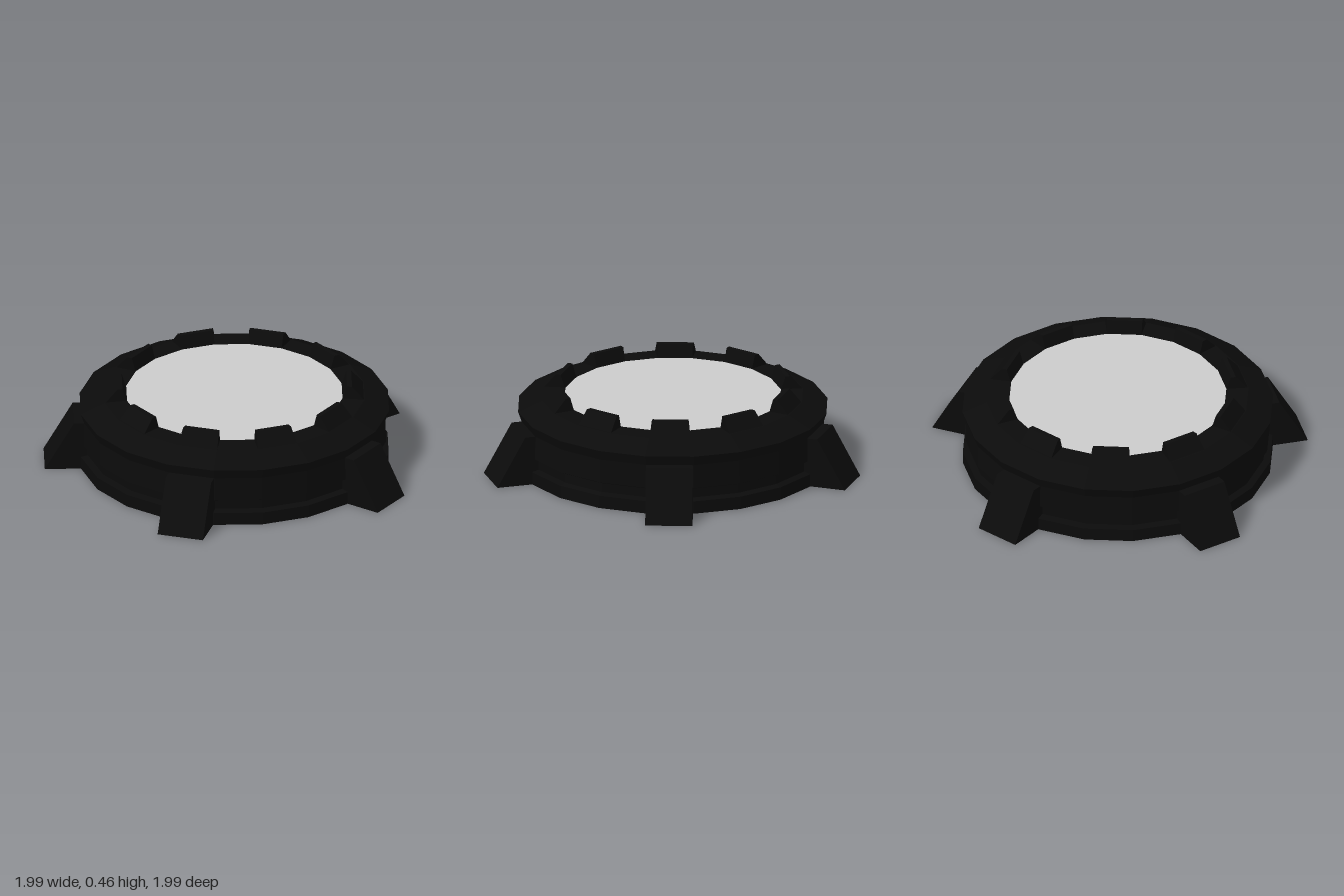
import * as THREE from 'three';

const SIDES = 20;
const STEP = (Math.PI * 2) / SIDES;

export function createModel() {
  const model = new THREE.Group();
  model.name = 'roundPlatform';
  const dark = new THREE.MeshStandardMaterial({ color: 0x0b0b0b, flatShading: true });
  const grey = new THREE.MeshStandardMaterial({ color: 0xcccccc, flatShading: true });

  // All parts share one axis, slightly off the centre of the uneven five-leg footprint
  const platform = new THREE.Group();
  platform.name = 'platform';
  platform.position.set(0.028, 0, -0.033);
  model.add(platform);

  const add = (name, geometry, material, angle = 0) => {
    const mesh = new THREE.Mesh(geometry, material);
    mesh.name = name;
    mesh.rotation.y = -angle;
    platform.add(mesh);
  };

  // Drum: closed underside, grooved wall, flared lip and sloping rim
  const profile = [
    [0, 0], [0.835, 0], [0.835, 0.07], [0.8, 0.08], [0.8, 0.13], [0.82, 0.14],
    [0.818, 0.27], [0.837, 0.325], [0.705, 0.385], [0.585, 0.385],
  ].map(([r, y]) => new THREE.Vector2(r, y));
  add('drum', new THREE.LatheGeometry(profile, SIDES), dark);

  // Pale disc set into the rim
  add('topDisc', new THREE.CircleGeometry(0.585, SIDES).rotateX(-Math.PI / 2).translate(0, 0.385, 0), grey);

  // Teeth: each covers one facet of the rim, every second facet
  const tooth = new THREE.BoxGeometry(1, 1, 1);
  const p = tooth.attributes.position;
  for (let i = 0; i < p.count; i++) {
    const top = p.getY(i) > 0;
    const r = p.getX(i) > 0 ? (top ? 0.637 : 0.705) : (top ? 0.61 : 0.587);
    const a = (Math.sign(p.getZ(i)) * STEP) / 2;
    p.setXYZ(i, r * Math.cos(a), top ? 0.457 : 0.38, r * Math.sin(a));
  }
  tooth.computeVertexNormals();
  for (let k = 0; k < 10; k++) add('rimTooth', tooth, dark, (2 * k - 0.5) * STEP);

  // Legs: sloped buttresses around the wall
  const width = 0.253;
  const side = new THREE.Shape([
    new THREE.Vector2(0.7, 0), new THREE.Vector2(1.02, 0),
    new THREE.Vector2(0.864, 0.27), new THREE.Vector2(0.7, 0.27),
  ]);
  const leg = new THREE.ExtrudeGeometry(side, { depth: width, bevelEnabled: false }).translate(0, 0, -width / 2);
  for (let k = 0; k < 5; k++) add('leg', leg, dark, 1.5 * STEP + (k * Math.PI * 2) / 5);

  return model;
}
